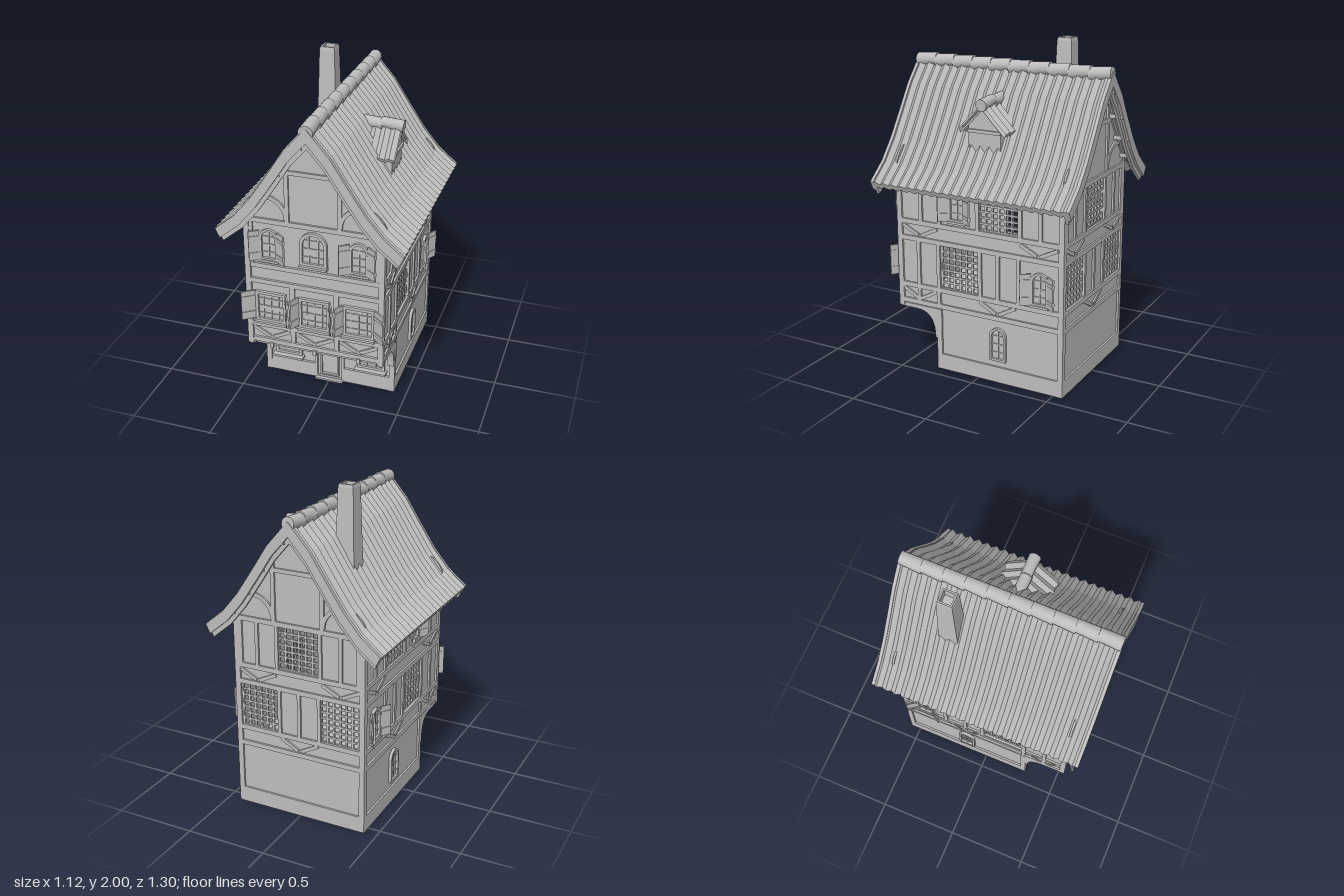
import * as THREE from 'three';

const grey = new THREE.MeshStandardMaterial({ color: 0xbdbdbd, side: THREE.DoubleSide });
grey.name = 'stone grey';

function add(parent, name, geo, x = 0, y = 0, z = 0) {
  const m = new THREE.Mesh(geo, grey);
  m.name = name;
  m.position.set(x, y, z);
  parent.add(m);
  return m;
}
const poly = pts => new THREE.Shape(pts.map(p => new THREE.Vector2(p[0], p[1])));
const rect = (u0, y0, u1, y1) => poly([[u0, y0], [u1, y0], [u1, y1], [u0, y1]]);
const extrude = (shape, depth) =>
  new THREE.ExtrudeGeometry(shape, { depth, bevelEnabled: false, curveSegments: 8 });

// A frame is a wall plane: x runs along the wall, z points outwards
function frame(parent, name, x, z, ry) {
  const g = new THREE.Group();
  g.name = name;
  g.position.set(x, 0, z);
  g.rotation.y = ry;
  parent.add(g);
  return g;
}
// Wall slab behind the frame plane, with rectangular holes
function wall(f, pts, holes = []) {
  const s = poly(pts);
  holes.forEach(h => s.holes.push(rect(...h)));
  add(f, 'wall', extrude(s, 0.02), 0, 0, -0.02);
}
// Timber lying on a wall from one point to another
function beam(f, u0, y0, u1, y1, w = 0.03, d = 0.012) {
  const m = add(f, 'timber', new THREE.BoxGeometry(Math.hypot(u1 - u0, y1 - y0), w, d),
    (u0 + u1) / 2, (y0 + y1) / 2, d / 2);
  m.rotation.z = Math.atan2(y1 - y0, u1 - u0);
}
function vee(f, u, yTop, yLow, half) {
  for (const s of [-1, 1]) beam(f, u + s * half, yTop, u + s * 0.01, yLow, 0.022, 0.01);
}
function curvedBrace(f, u, y, r, s) {
  const shape = new THREE.Shape();
  shape.absarc(0, 0, r + 0.012, 0, Math.PI / 2, false);
  shape.absarc(0, 0, r - 0.012, Math.PI / 2, 0, true);
  const m = add(f, 'curvedBrace', extrude(shape, 0.012), u, y, s > 0 ? 0 : 0.012);
  if (s < 0) m.rotation.y = Math.PI;
}
// Outline with a flat foot and a round or low-arched head
function archShape(w, h, rise) {
  const s = new THREE.Shape();
  s.moveTo(-w / 2, 0);
  s.lineTo(w / 2, 0);
  s.lineTo(w / 2, h - rise);
  if (rise > 0) s.absellipse(0, h - rise, w / 2, rise, 0, Math.PI, false);
  else s.lineTo(-w / 2, h);
  return s;
}
// Framed pane with optional glazing bars
function pane(f, name, u, y, w, h, rise, cols, rows, t = 0.018) {
  const s = archShape(w, h, rise);
  const hole = archShape(w - 2 * t, h - 2 * t, Math.max(0, rise - t * 0.5));
  s.holes.push(new THREE.Path(hole.getPoints(8).map(p => p.add(new THREE.Vector2(0, t)))));
  add(f, name + 'Frame', extrude(s, 0.018), u, y, 0);
  add(f, name + 'Pane', extrude(archShape(w - t, h - t, rise * 0.9), 0.003), u, y + t / 2, 0);
  for (let i = 1; i < cols; i++) {
    const x = u - w / 2 + (w * i) / cols;
    beam(f, x, y + t, x, y + h - Math.max(t, rise * 0.3), 0.007, 0.009);
  }
  for (let i = 1; i < rows; i++)
    beam(f, u - w / 2 + t, y + (h * i) / rows, u + w / 2 - t, y + (h * i) / rows, 0.007, 0.009);
}
function sill(f, u, y, w, d = 0.035) {
  add(f, 'sill', new THREE.BoxGeometry(w, 0.014, d), u, y, d / 2);
}
// Shutter hinged at u, opening towards side s, with two cross battens
function shutter(f, u, y, w, h, s, angle) {
  const g = new THREE.Group();
  g.name = 'shutter';
  g.position.set(u, y, 0.016);
  g.rotation.y = -s * angle;
  add(g, 'shutterBoard', new THREE.BoxGeometry(w, h, 0.01), s * w / 2, h / 2, 0);
  for (const k of [0.22, 0.78])
    add(g, 'batten', new THREE.BoxGeometry(w, 0.02, 0.018), s * w / 2, h * k, 0);
  f.add(g);
}
function archedWindow(f, u, y) {
  pane(f, 'archedWindow', u, y, 0.11, 0.2, 0.05, 2, 4, 0.014);
  sill(f, u, y - 0.005, 0.12, 0.025);
  for (const s of [-1, 1]) shutter(f, u + s * 0.054, y, 0.065, 0.19, s, 0.6);
}
// Open lattice filling a hole
function lattice(f, u0, y0, u1, y1) {
  const nu = 6, ny = Math.round((y1 - y0) / 0.037);
  const bar = (w, h, x, y) => add(f, 'latticeBar', new THREE.BoxGeometry(w, h, 0.012), x, y, -0.008);
  for (let i = 0; i <= nu; i++) bar(0.012, y1 - y0, u0 + (u1 - u0) * i / nu, (y0 + y1) / 2);
  for (let i = 0; i <= ny; i++) bar(Math.abs(u1 - u0), 0.012, (u0 + u1) / 2, y0 + (y1 - y0) * i / ny);
}

// One pitched roof half: a closed section, zigzagging along z
function corrugated(profile, thick, length, waves, amp) {
  const loop = [...profile, ...profile.map(p => [p[0] - thick * 0.5, p[1] - thick]).reverse()];
  loop.push(loop[0]);
  const pos = [], n = waves * 2;
  const at = (i, j) => {
    const k = (j % 2 ? 1 : -1) * amp;
    return [loop[i][0] + k * 0.7, loop[i][1] + k * 0.7, -length / 2 + length * j / n];
  };
  for (let i = 0; i < loop.length - 1; i++)
    for (let j = 0; j < n; j++) {
      const a = at(i, j), b = at(i + 1, j), c = at(i + 1, j + 1), d = at(i, j + 1);
      pos.push(...a, ...c, ...b, ...a, ...d, ...c);
    }
  const g = new THREE.BufferGeometry();
  g.setAttribute('position', new THREE.Float32BufferAttribute(pos, 3));
  g.computeVertexNormals();
  return g;
}
function band(profile, t0, t1, depth) {
  const off = t => profile.map(p => [p[0] - t * 0.5, p[1] - t]);
  return extrude(poly([...off(t0), ...off(t1).reverse()]), depth);
}
function ridge(parent, y, len, count, r) {
  const step = len / count;
  for (let i = 0; i < count; i++) {
    const m = add(parent, 'ridgeTile', new THREE.CylinderGeometry(r, r * 0.9, step * 1.08, 14),
      0, y, -len / 2 + step * (i + 0.5));
    m.rotation.x = Math.PI / 2 + 0.1;
  }
}

const ROOF = [[0, 1.845], [0.13, 1.695], [0.23, 1.54], [0.33, 1.39], [0.43, 1.27], [0.55, 1.17]];
const GABLE = [[0.41, 1.25], [0.33, 1.35], [0.23, 1.5], [0.13, 1.65], [0, 1.8]];
const gableTop = [...GABLE, ...GABLE.slice(0, -1).reverse().map(p => [-p[0], p[1]])];

function gableTimbers(f) {
  beam(f, -0.41, 1.215, 0.41, 1.215);
  beam(f, -0.2, 1.535, 0.2, 1.535, 0.025);
  for (const s of [-1, 1]) {
    beam(f, s * 0.155, 1.22, s * 0.155, 1.62, 0.025);
    curvedBrace(f, s * 0.29, 1.24, 0.13, -s);
    curvedBrace(f, s * 0.29, 1.24, 0.13, s);
    beam(f, s * 0.38, 0.92, s * 0.38, 1.22, 0.025);
    // Purlin ends carrying the overhang
    for (const [x, y] of [[0.04, 1.73], [0.17, 1.56], [0.27, 1.41], [0.37, 1.28]])
      add(f, 'purlinEnd', new THREE.BoxGeometry(0.025, 0.025, 0.1), s * x, y, 0.045);
  }
}

export function createModel() {
  const house = new THREE.Group();
  house.name = 'timberHouse';

  // Ground floor front with door and two windows
  const low = frame(house, 'groundFront', 0, 0.27, 0);
  wall(low, [[-0.41, 0], [0.41, 0], [0.41, 0.39], [-0.41, 0.39]]);
  beam(low, -0.41, 0.375, 0.41, 0.375);
  pane(low, 'door', 0, 0, 0.19, 0.345, 0.06, 1, 1, 0.016);
  pane(low, 'doorPanel', 0, 0.03, 0.12, 0.26, 0.03, 1, 1, 0.01);
  add(low, 'threshold', new THREE.BoxGeometry(0.18, 0.012, 0.04), 0, 0.006, 0.02);
  for (const s of [-1, 1]) {
    beam(low, s * 0.41, 0.05, s * 0.095, 0.05, 0.1, 0.015);
    pane(low, 'groundWindow', s * 0.27, 0.135, 0.175, 0.2, 0, 3, 4);
    sill(low, s * 0.27, 0.13, 0.2, 0.05);
    beam(low, s * 0.17, 0.34, s * 0.37, 0.34, 0.014, 0.02);
  }

  // Jettied front, upper floors and gable
  const front = frame(house, 'upperFront', 0, 0.54, 0);
  wall(front, [[-0.41, 0.37], [0.41, 0.37], ...gableTop]);
  for (const y of [0.405, 0.515, 0.815, 0.92]) beam(front, -0.41, y, 0.41, y, 0.03, 0.014);
  for (const u of [-0.27, 0, 0.27]) {
    vee(front, u, 0.49, 0.435, 0.115);
    add(front, 'joistEnd', new THREE.BoxGeometry(0.022, 0.035, 0.03), u, 0.38, 0.005);
    pane(front, 'middleWindow', u, 0.545, 0.19, 0.2, 0, 4, 4);
    sill(front, u, 0.54, 0.2);
    for (const s of [-1, 1]) {
      const outer = u * s > 0;
      shutter(front, u + s * 0.097, 0.56, outer ? 0.085 : 0.068, 0.19, s, outer ? 0.65 : 1.1);
    }
  }
  for (const u of [-0.135, 0.135]) beam(front, u, 0.42, u, 0.8);
  pane(front, 'centreWindow', 0, 0.97, 0.165, 0.215, 0.08, 3, 4);
  sill(front, 0, 0.965, 0.17);
  for (const u of [-0.27, 0.27]) archedWindow(front, u, 0.965);
  gableTimbers(front);

  // Back with open lattices
  const back = frame(house, 'back', 0, -0.55, Math.PI);
  const backHoles = [[-0.38, 0.53, -0.14, 0.8], [0.14, 0.53, 0.38, 0.8], [-0.13, 0.94, 0.13, 1.2]];
  wall(back, [[-0.41, 0], [0.41, 0], ...gableTop], backHoles);
  backHoles.forEach(h => lattice(back, ...h));
  for (const y of [0.41, 0.515, 0.815, 0.92]) beam(back, -0.41, y, 0.41, y);
  beam(back, -0.41, 0.05, 0.41, 0.05, 0.1);
  for (const u of [-0.13, 0, 0.13]) beam(back, u, 0.53, u, 0.8, 0.022);
  for (const u of [-0.27, -0.14, 0.14, 0.27]) beam(back, u, 0.93, u, 1.2, 0.022);
  vee(back, 0, 0.495, 0.435, 0.12);
  for (const u of [-0.27, 0.27]) vee(back, u, 0.895, 0.84, 0.12);
  gableTimbers(back);

  // Two mirrored sides
  for (const s of [1, -1]) {
    const f = frame(house, s > 0 ? 'leftSide' : 'rightSide', s * 0.41, 0, s * Math.PI / 2);
    const U = z => -s * z;
    const holes = [[U(0.25), 0.53, U(0), 0.8], [U(-0.01), 0.94, U(-0.265), 1.2]];
    wall(f, [[U(-0.55), 0], [U(0.27), 0], [U(0.27), 0.37], [U(0.54), 0.37],
      [U(0.54), 1.25], [U(-0.55), 1.25]], holes);
    holes.forEach(h => lattice(f, ...h));
    const row = (y, z0 = 0.54) => beam(f, U(z0), y, U(-0.55), y);
    [0.515, 0.815, 0.92, 1.215].forEach(y => row(y));
    row(0.41);
    beam(f, U(0.28), 0.05, U(-0.55), 0.05, 0.1);
    const post = (z, y0, y1) => beam(f, U(z), y0, U(z), y1, 0.024);
    [0.41, 0.27, -0.015, -0.135, -0.27].forEach(z => post(z, 0.53, 0.8));
    [0.39, 0.26, 0, -0.28, -0.41].forEach(z => post(z, 0.93, 1.2));
    post(0.41, 0.42, 0.5);
    post(0.27, 0.42, 0.5);
    vee(f, U(0.4), 0.895, 0.84, 0.12);
    vee(f, U(-0.4), 0.895, 0.84, 0.12);
    vee(f, U(0.41), 0.495, 0.435, 0.12);
    vee(f, U(-0.13), 0.495, 0.435, 0.12);
    pane(f, 'groundArch', U(-0.135), 0.14, 0.11, 0.21, 0.055, 2, 4, 0.014);
    archedWindow(f, U(-0.41), 0.545);
    archedWindow(f, U(0.135), 0.965);

    // Corner posts and curved jetty bracket
    for (const [z, y0, y1] of [[0.27, 0, 0.39], [0.54, 0.37, 1.24], [-0.545, 0, 1.24]])
      add(house, 'cornerPost', new THREE.BoxGeometry(0.034, y1 - y0, 0.034), s * 0.405, (y0 + y1) / 2, z);
    const br = new THREE.Shape();
    br.moveTo(0.27, 0.39);
    br.lineTo(0.27, 0.2);
    br.lineTo(0.3, 0.2);
    br.bezierCurveTo(0.3, 0.31, 0.34, 0.365, 0.43, 0.365);
    br.lineTo(0.545, 0.365);
    br.lineTo(0.545, 0.39);
    add(house, 'jettyBracket', extrude(br, 0.04), s * 0.4 - 0.02, 0, 0).rotation.y = -Math.PI / 2;
    house.children.at(-1).position.x += 0.04;
  }
  add(house, 'upperFloor', new THREE.BoxGeometry(0.82, 0.015, 1.08), 0, 0.38, 0);

  // Main roof: two halves, verge boards and ridge tiles
  for (const s of [1, -1]) {
    const half = new THREE.Group();
    half.name = 'roofHalf';
    half.rotation.y = s > 0 ? 0 : Math.PI;
    add(half, 'roofTiles', corrugated(ROOF, 0.03, 1.29, 22, 0.011));
    for (const z of [-0.65, 0.63]) add(half, 'vergeBoard', band(ROOF, -0.005, 0.05, 0.02), 0, 0, z);
    for (const z of [-0.632, 0.612]) add(half, 'innerVerge', band(ROOF, 0.02, 0.075, 0.02), 0, 0, z);
    house.add(half);
  }
  ridge(house, 1.832, 1.28, 10, 0.043);

  // Dormer facing sideways
  const dormer = frame(house, 'dormer', 0.235, 0, Math.PI / 2);
  const slope = [[0, 1.675], [0.08, 1.59], [0.16, 1.51]];
  for (const r of [0, Math.PI])
    add(dormer, 'dormerTiles', corrugated(slope, 0.02, 0.23, 4, 0.009)).rotation.y = r;
  add(dormer, 'dormerBody', extrude(poly([[-0.105, 1.3], [0.105, 1.3], [0.105, 1.54],
    [0, 1.65], [-0.105, 1.54]]), 0.21), 0, 0, -0.12);
  beam(frame(dormer, 'dormerFront', 0, 0.09, 0), -0.11, 1.5, 0.11, 1.5, 0.02);
  ridge(dormer, 1.665, 0.25, 2, 0.036);

  // Tapered chimney with a hollow head
  const pts = [[0.088, 1.42], [0.066, 1.98], [0.06, 2], [0.046, 2], [0.046, 1.94], [0, 1.94]];
  const flue = new THREE.LatheGeometry(pts.map(p => new THREE.Vector2(...p)), 4, Math.PI / 4).toNonIndexed();
  flue.computeVertexNormals();
  add(house, 'chimney', flue, -0.18, 0, -0.275);
  return house;
}
